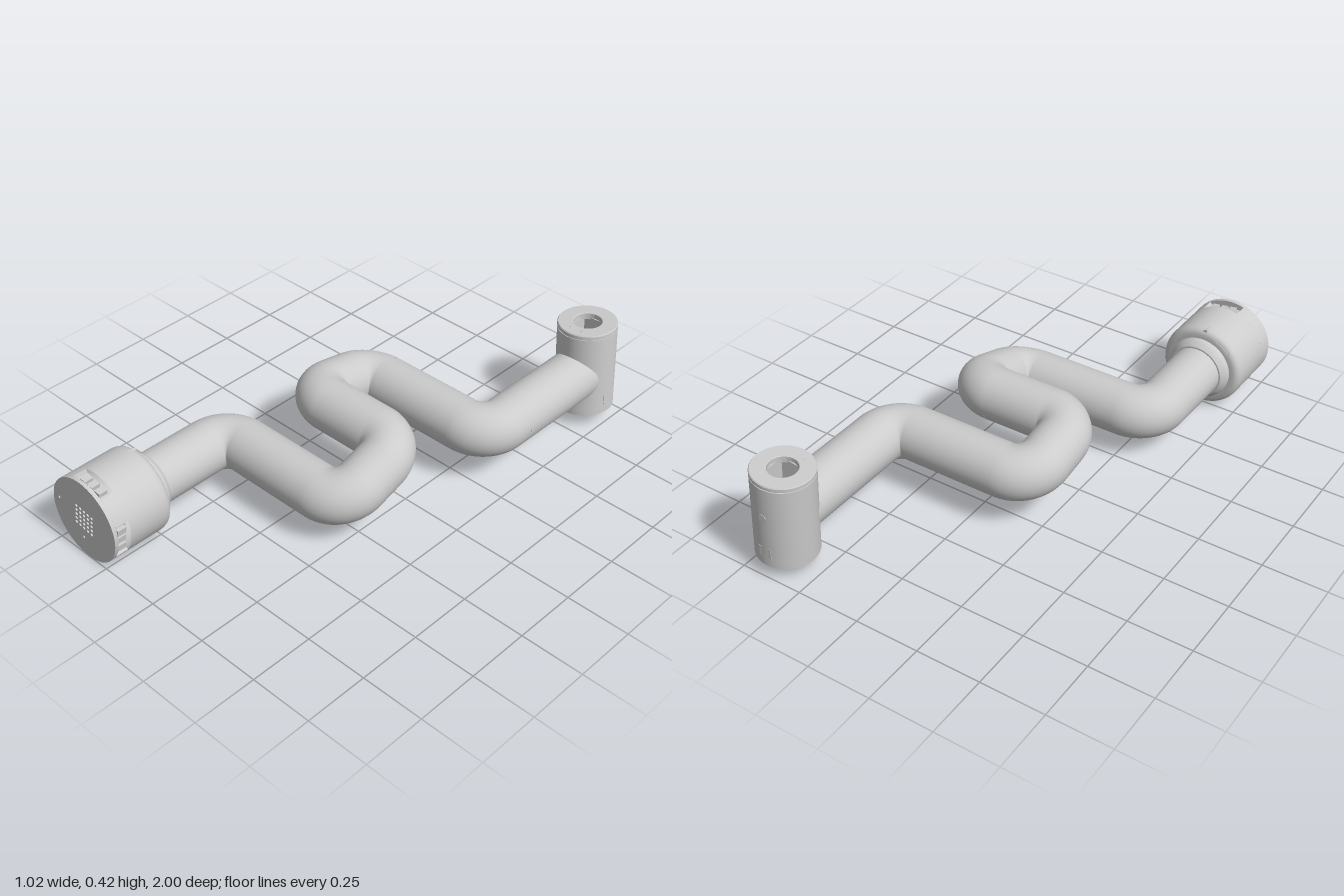
import * as THREE from 'three';
import { toCreasedNormals } from 'three/addons/utils/BufferGeometryUtils.js';

const material = new THREE.MeshStandardMaterial({ color: 0xcccccc, side: THREE.DoubleSide });
const V = (x, y, z) => new THREE.Vector3(x, y, z);

function add(parent, name, geometry, x = 0, y = 0, z = 0) {
  const mesh = new THREE.Mesh(geometry, material);
  mesh.name = name;
  mesh.position.set(x, y, z);
  parent.add(mesh);
  return mesh;
}

function lathe(profile) {
  const points = profile.map(([r, y]) => new THREE.Vector2(r, y));
  return toCreasedNormals(new THREE.LatheGeometry(points, 64), 0.5);
}

function extrude(shape, depth) {
  return toCreasedNormals(
    new THREE.ExtrudeGeometry(shape, { depth, bevelEnabled: false, curveSegments: 32 }), 0.5);
}

function disc(radius) {
  return new THREE.Shape().absarc(0, 0, radius, 0, Math.PI * 2);
}

function roundHole(shape, x, y, r) {
  shape.holes.push(new THREE.Path().absarc(x, y, r, 0, Math.PI * 2, true));
}

// Small flush screw head whose axis points along +x or -z
function screw(parent, axis, x, y, z, r = 0.011) {
  const g = new THREE.CylinderGeometry(r, r, 0.006, 16);
  if (axis === 'x') g.rotateZ(Math.PI / 2);
  else g.rotateX(Math.PI / 2);
  add(parent, 'screw', g, x, y, z);
}

// Round arm: straight links joined by tight quarter bends
function buildArm() {
  const arm = new THREE.Group();
  arm.name = 'arm';
  const radius = 0.102, bend = 0.104, k = 0.5523;
  const corners = [
    V(-0.345, 0.17, 0.72), V(-0.345, 0.17, 0.33), V(0.24, 0.17, 0.33), V(0.24, 0.267, 0.03),
    V(-0.205, 0.267, 0.03), V(-0.205, 0.212, -0.275), V(0.385, 0.212, -0.275), V(0.385, 0.212, -0.834),
  ];
  let start = corners[0];
  for (let i = 1; i < corners.length; i++) {
    const c = corners[i], last = i === corners.length - 1;
    const before = corners[i - 1].clone().sub(c).normalize();
    const end = last ? c : c.clone().addScaledVector(before, bend);
    add(arm, 'link', new THREE.TubeGeometry(new THREE.LineCurve3(start, end), 1, radius, 48));
    if (last) break;
    const after = corners[i + 1].clone().sub(c).normalize();
    const exit = c.clone().addScaledVector(after, bend);
    const elbow = new THREE.CubicBezierCurve3(end,
      c.clone().addScaledVector(before, bend * (1 - k)),
      c.clone().addScaledVector(after, bend * (1 - k)), exit);
    add(arm, 'elbow', new THREE.TubeGeometry(elbow, 24, radius, 48));
    start = exit;
  }
  screw(arm, 'x', 0.34, 0.22, 0.185);
  screw(arm, 'x', 0.485, 0.212, -0.43);
  screw(arm, 'x', -0.305, 0.24, -0.12);
  return arm;
}

// Round base with stepped collar, two connector slots and a vented end plate
function buildBase() {
  const base = new THREE.Group();
  base.name = 'base';
  const R = 0.168, half = 0.45, floor = 0.136;
  base.position.set(-0.345, 0.17, 0);
  base.rotation.z = -0.15;

  const shell = lathe([
    [0.1, 0.7], [0.108, 0.7], [0.125, 0.718], [0.127, 0.725], [0.127, 0.74], [0.145, 0.74],
    [0.155, 0.744], [0.163, 0.752], [0.167, 0.763], [R, 0.772], [R, 0.93],
  ]);
  add(base, 'baseShell', shell.rotateX(Math.PI / 2));

  // Slotted band: notches face +x and +y
  const band = new THREE.Shape();
  const notches = [0, Math.PI / 2];
  notches.forEach((a, i) => {
    const next = i === 0 ? notches[1] : Math.PI * 2;
    const s = floor * Math.tan(half);
    for (const side of [-1, 1]) {
      const px = Math.cos(a) * floor - Math.sin(a) * s * side;
      const py = Math.sin(a) * floor + Math.cos(a) * s * side;
      if (i === 0 && side === -1) band.moveTo(px, py);
      else band.lineTo(px, py);
    }
    band.absarc(0, 0, R, a + half, next - half);
  });
  band.closePath();
  add(base, 'slottedBand', extrude(band, 0.055), 0, 0, 0.93);

  // Connector sockets inside the notches
  for (const a of notches) {
    const sockets = new THREE.Group();
    sockets.name = 'sockets';
    sockets.rotation.z = a;
    for (const y of [-0.04, 0, 0.036]) {
      add(sockets, 'socket', new THREE.BoxGeometry(0.02, 0.026, 0.036), 0.142, y, 0.957);
    }
    base.add(sockets);
  }

  // End plate with a 5 x 5 grid of vents
  const plate = disc(R);
  for (let i = -2; i <= 2; i++) {
    for (let j = -2; j <= 2; j++) roundHole(plate, i * 0.0205, j * 0.0205, 0.0065);
  }
  roundHole(plate, -0.136, 0.007, 0.005);
  roundHole(plate, -0.002, -0.088, 0.005);
  add(base, 'endPlate', extrude(plate, 0.015), 0, 0, 0.985);

  // Locking tabs near the shoulder
  add(base, 'tab', new THREE.BoxGeometry(0.014, 0.012, 0.03), -0.03, 0.159, 0.762);
  add(base, 'tab', new THREE.BoxGeometry(0.012, 0.016, 0.03), 0.159, 0, 0.768);
  return base;
}

// Slightly tilted hollow head at the far end
function buildHead() {
  const head = new THREE.Group();
  head.name = 'head';
  const R = 0.115;
  head.position.set(0.392, 0.058, -0.885);
  head.rotation.z = 0.055;

  const section = (name, opening, y, height) => {
    const shape = disc(R), h = opening;
    shape.holes.push(new THREE.Path([[-h, -h], [-h, h], [h, h], [h, -h]]
      .map(([x, z]) => new THREE.Vector2(x, z))));
    add(head, name, extrude(shape, height).rotateX(-Math.PI / 2), 0, y, 0);
  };
  section('headFoot', 0.074, 0, 0.045);
  section('headBody', 0.05, 0.045, 0.297);

  // Lid ring with a thin seam below it
  add(head, 'lid', lathe([
    [0.055, 0.335], [0.112, 0.335], [0.112, 0.346], [R, 0.346], [R, 0.358],
    [0.112, 0.362], [0.058, 0.362], [0.055, 0.36], [0.055, 0.335],
  ]));
  add(head, 'crossBar', new THREE.BoxGeometry(0.018, 0.02, 0.104), 0, 0.27, 0);
  for (const x of [-0.027, 0.027]) {
    add(head, 'lidPin', new THREE.CylinderGeometry(0.006, 0.006, 0.004, 12), x, 0.361, 0.075);
  }

  // Side latches and back screw
  add(head, 'latch', new THREE.BoxGeometry(0.01, 0.042, 0.05), 0.109, 0.058, 0);
  add(head, 'latch', new THREE.BoxGeometry(0.05, 0.042, 0.01), 0, 0.058, -0.109);
  screw(head, 'z', 0, 0.215, -0.1135, 0.014);
  return head;
}

export function createModel() {
  const model = new THREE.Group();
  model.name = 'jointedArm';
  model.add(buildBase(), buildArm(), buildHead());
  return model;
}
